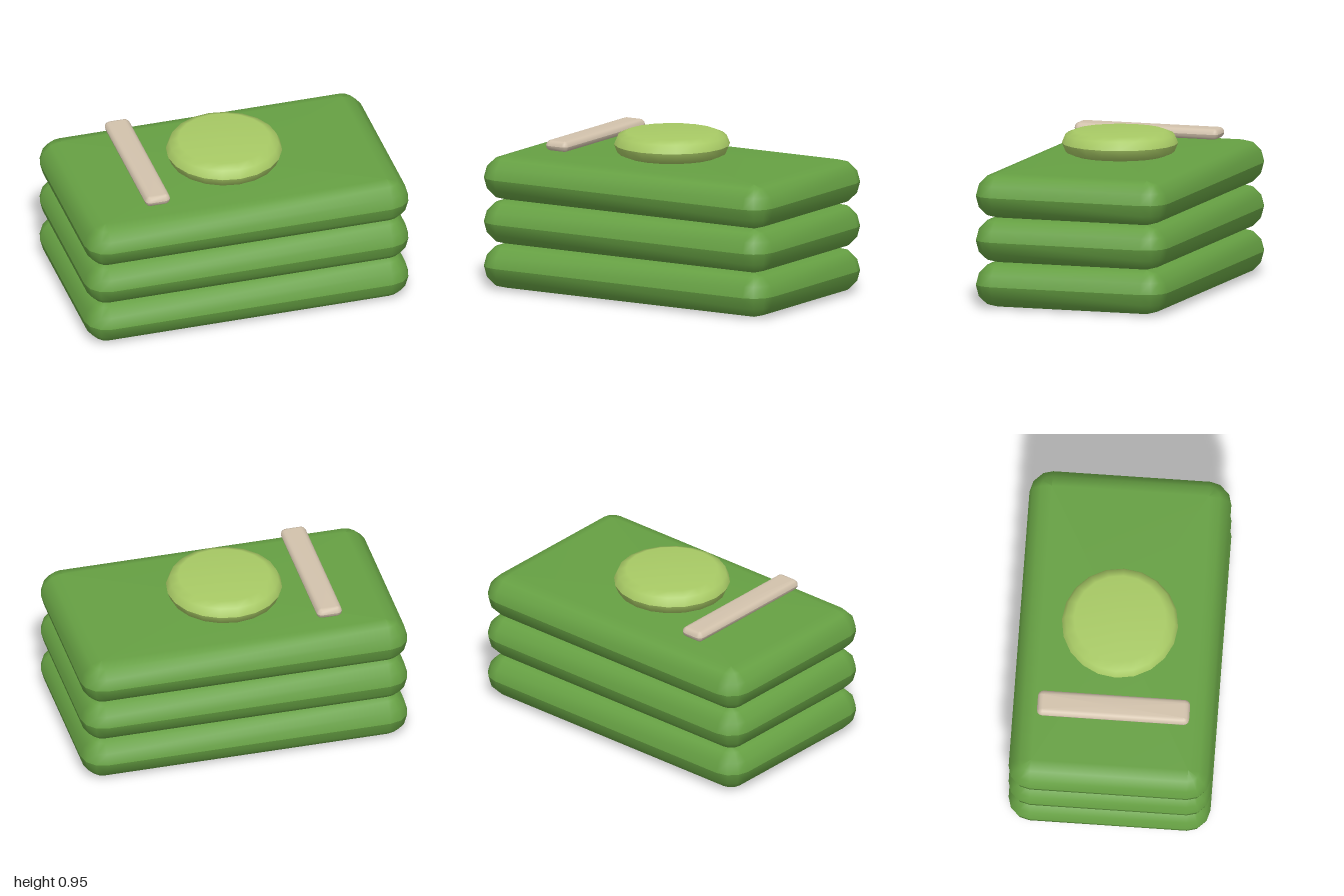
import * as THREE from 'three';

// Core outline of a rounded rectangle: corner centres with outward directions.
function rectOutline(w, d, r, steps) {
  const pts = [];
  for (let c = 0; c < 4; c++) {
    const sx = c === 0 || c === 3 ? 1 : -1;
    const sz = c < 2 ? 1 : -1;
    for (let i = 0; i <= steps; i++) {
      const a = (c + i / steps) * Math.PI / 2;
      pts.push({ x: sx * (w / 2 - r), z: sz * (d / 2 - r), nx: Math.cos(a), nz: Math.sin(a) });
    }
  }
  return pts;
}

// Core outline of a circle.
function circleOutline(radius, r, sides) {
  return Array.from({ length: sides }, (_, i) => {
    const a = i / sides * Math.PI * 2, nx = Math.cos(a), nz = Math.sin(a);
    return { x: nx * (radius - r), z: nz * (radius - r), nx, nz };
  });
}

// Fully rounded slab: the two halves keep a soft crease where they meet at mid height.
function pillowGeometry(outline, r, steps) {
  const pos = [], index = [], n = outline.length;
  for (const side of [1, -1]) {
    const base = pos.length / 3;
    const tri = (a, b, c) => side > 0 ? index.push(a, b, c) : index.push(a, c, b);
    for (let k = 0; k <= steps; k++) {
      const t = k / steps * Math.PI / 2;
      const out = r * Math.cos(t), y = side * r * Math.sin(t);
      for (const p of outline) pos.push(p.x + p.nx * out, y, p.z + p.nz * out);
    }
    const centre = pos.length / 3;
    pos.push(0, side * r, 0);
    for (let i = 0; i < n; i++) {
      const j = (i + 1) % n;
      for (let k = 0; k < steps; k++) {
        const a = base + k * n + i, b = base + k * n + j;
        tri(a, a + n, b);
        tri(b, a + n, b + n);
      }
      tri(base + steps * n + i, centre, base + steps * n + j);
    }
  }
  const geo = new THREE.BufferGeometry();
  geo.setAttribute('position', new THREE.Float32BufferAttribute(pos, 3));
  geo.setIndex(index);
  geo.computeVertexNormals();
  return geo;
}

export function createModel() {
  const group = new THREE.Group();
  const material = (name, color) => {
    const m = new THREE.MeshStandardMaterial({ color });
    m.name = name;
    return m;
  };
  const green = material('leaf green', 0x66a043);
  const lime = material('pale lime', 0xa8ca65);
  const beige = material('beige', 0xd2c2ac);

  const add = (name, geo, mat, x, y, z) => {
    const mesh = new THREE.Mesh(geo, mat);
    mesh.name = name;
    mesh.position.set(x, y, z);
    group.add(mesh);
  };

  // Three stacked cushions
  const r = 0.4 / 3;
  const cushion = pillowGeometry(rectOutline(2, 1.2, r, 3), r, 3);
  for (let i = 0; i < 3; i++) add('cushion' + (i + 1), cushion, green, 0, r * (2 * i + 1), 0);

  // Round disc and slim bar above the top cushion
  add('disc', pillowGeometry(circleOutline(0.345, 0.072, 20), 0.072, 2), lime, 0, 0.882, 0);
  add('bar', pillowGeometry(rectOutline(0.155, 0.905, 0.032, 3), 0.032, 3), beige, -0.535, 0.882, 0);

  return group;
}
